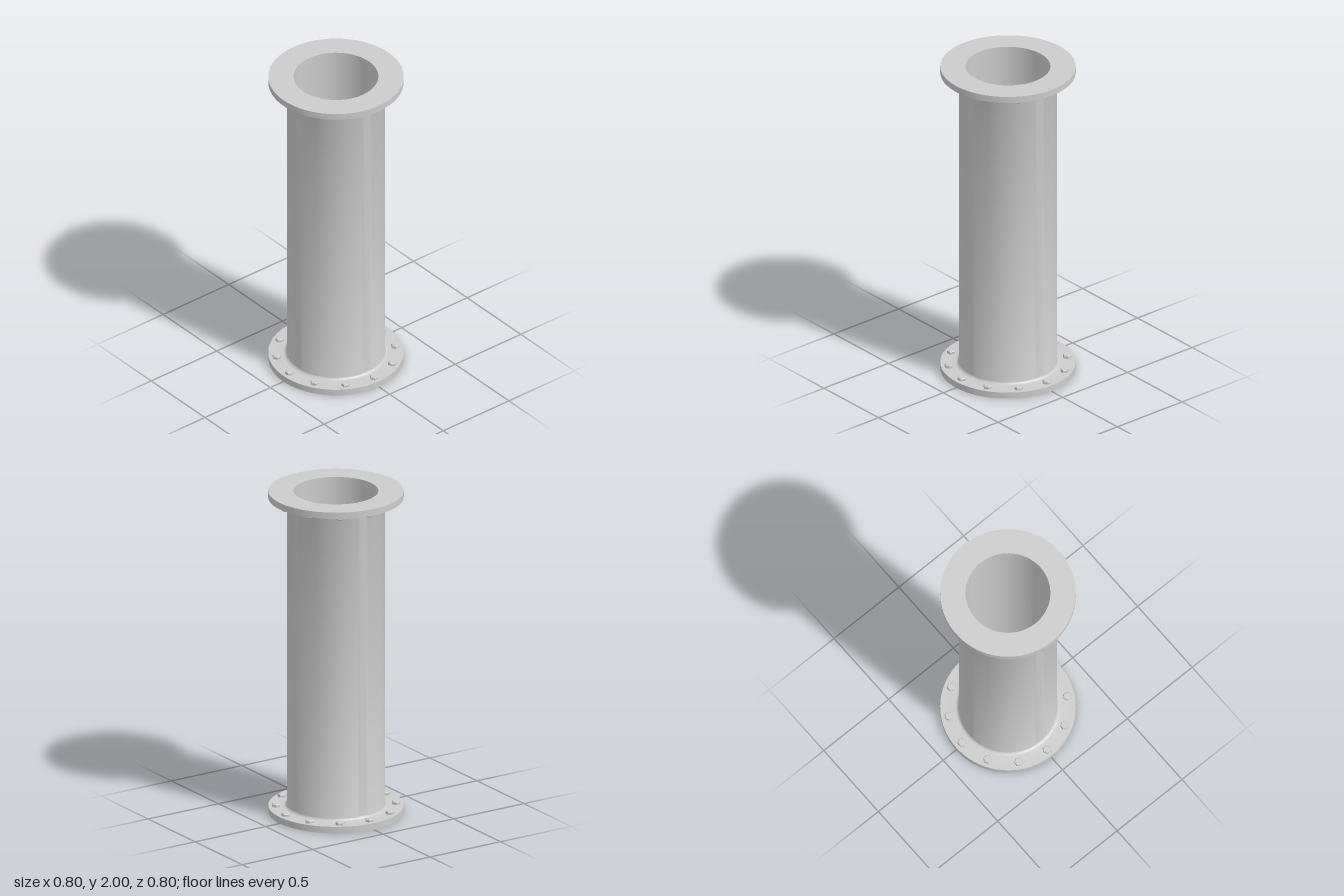
import * as THREE from 'three';
import { toCreasedNormals } from 'three/addons/utils/BufferGeometryUtils.js';

const HEIGHT = 2, BORE = 0.25, PIPE = 0.29, FLANGE = 0.4, THICK = 0.04, FILLET = 0.02;
const BOLTS = 12, BOLT_CIRCLE = 0.355, BOLT_R = 0.026, BOLT_H = 0.018;

export function createModel() {
  const model = new THREE.Group();
  model.name = 'flangedPipe';
  const material = new THREE.MeshStandardMaterial({ color: 0xcccccc });

  // Flanged pipe: lower half of the outer profile, mirrored for the upper half
  const lower = [[BORE, 0], [FLANGE, 0], [FLANGE, THICK]];
  for (let i = 0; i <= 5; i++) {
    const a = (i / 5) * Math.PI / 2;
    lower.push([
      PIPE + FILLET * (1 - Math.sin(a)),
      THICK + FILLET * (1 - Math.cos(a)),
    ]);
  }
  const upper = lower.map(([r, y]) => [r, HEIGHT - y]).reverse();
  const profile = [...lower, ...upper, lower[0]].map(([r, y]) => new THREE.Vector2(r, y));
  const pipeGeometry = toCreasedNormals(new THREE.LatheGeometry(profile, 96), Math.PI / 5);
  const pipe = new THREE.Mesh(pipeGeometry, material);
  pipe.name = 'pipeWithFlanges';
  model.add(pipe);

  // Hexagonal bolt head with a chamfered top, one flat facing outward
  const headProfile = [[0, 0], [BOLT_R, 0], [BOLT_R, BOLT_H * 0.75], [BOLT_R * 0.85, BOLT_H], [0, BOLT_H]]
    .map(([r, y]) => new THREE.Vector2(r, y));
  const headGeometry = toCreasedNormals(new THREE.LatheGeometry(headProfile, 6, Math.PI / 6), 0.3);

  // Rings of bolt heads on the inner face of each flange
  for (const top of [false, true]) {
    const ring = new THREE.Group();
    ring.name = top ? 'upperBolts' : 'lowerBolts';
    for (let i = 0; i < BOLTS; i++) {
      const a = (i / BOLTS) * Math.PI * 2;
      const bolt = new THREE.Mesh(headGeometry, material);
      bolt.name = 'boltHead';
      bolt.position.set(Math.sin(a) * BOLT_CIRCLE, THICK, Math.cos(a) * BOLT_CIRCLE);
      bolt.rotation.y = a;
      ring.add(bolt);
    }
    if (top) {
      ring.rotation.x = Math.PI;
      ring.position.y = HEIGHT;
    }
    model.add(ring);
  }
  return model;
}
